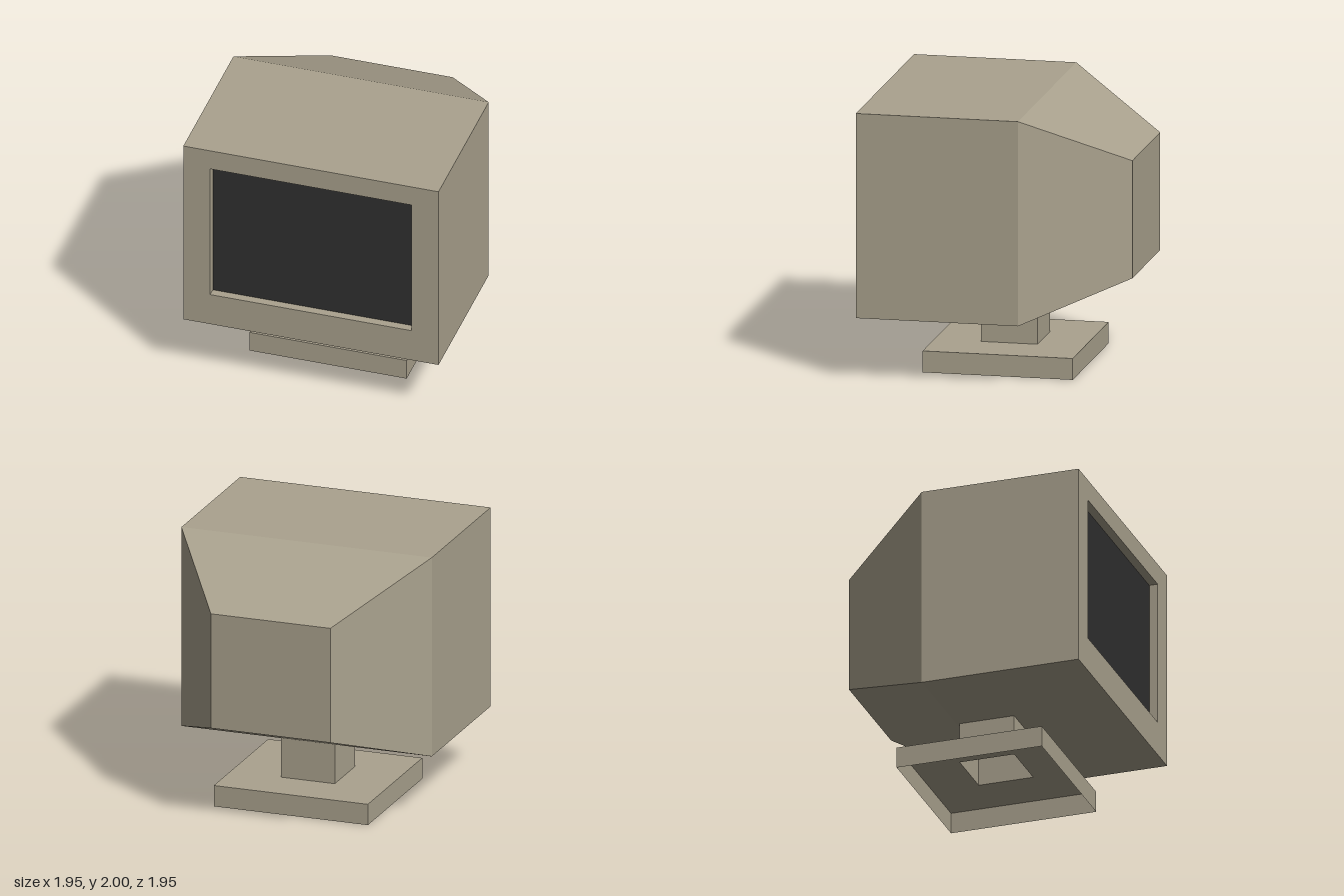
import * as THREE from 'three';

// Skin a series of four-cornered loops with flat quads, optionally capping the last one
function loft(loops, capEnd) {
  const pos = [];
  const tri = (a, b, c) => pos.push(...a, ...b, ...c);
  for (let i = 0; i < loops.length - 1; i++) {
    const a = loops[i], b = loops[i + 1];
    for (let j = 0; j < 4; j++) {
      const k = (j + 1) % 4;
      tri(a[j], b[j], b[k]);
      tri(a[j], b[k], a[k]);
    }
  }
  if (capEnd) {
    const e = loops[loops.length - 1];
    tri(e[0], e[3], e[2]);
    tri(e[0], e[2], e[1]);
  }
  const g = new THREE.BufferGeometry();
  g.setAttribute('position', new THREE.Float32BufferAttribute(pos, 3));
  g.computeVertexNormals();
  return g;
}

// Upright rectangle at depth z
const upright = (hx, y0, y1, z) => [[-hx, y0, z], [hx, y0, z], [hx, y1, z], [-hx, y1, z]];
// Level rectangle at height y
const level = (hx, hz, y) => [[hx, y, hz], [-hx, y, hz], [-hx, y, -hz], [hx, y, -hz]];

export function createModel() {
  const casingMat = new THREE.MeshStandardMaterial({ color: 0xaaa28e, side: THREE.DoubleSide });
  casingMat.name = 'beige casing';
  const screenMat = new THREE.MeshStandardMaterial({ color: 0x303030 });
  screenMat.name = 'dark glass';

  const model = new THREE.Group();
  model.name = 'monitor';
  const add = (name, geometry, material) => {
    const mesh = new THREE.Mesh(geometry, material);
    mesh.name = name;
    model.add(mesh);
    return mesh;
  };

  // Casing: screen recess, bezel, straight sides, then the tapered back
  add('casing', loft([
    upright(0.77, 0.73, 1.84, 0.91),
    upright(0.77, 0.73, 1.84, 0.975),
    upright(0.975, 0.47, 2, 0.975),
    upright(0.975, 0.47, 2, -0.235),
    upright(0.465, 0.75, 1.63, -0.975),
  ], true), casingMat);

  // Screen at the bottom of the recess
  add('screen', new THREE.PlaneGeometry(1.54, 1.11), screenMat).position.set(0, 1.285, 0.91);

  // Stand: hollow foot, open underneath, rising into a hollow neck
  add('foot', loft([level(0.6, 0.56, 0), level(0.6, 0.56, 0.16), level(0.21, 0.21, 0.16)]), casingMat);
  add('neck', loft([level(0.21, 0.21, 0.16), level(0.21, 0.21, 0.47)]), casingMat);

  return model;
}
